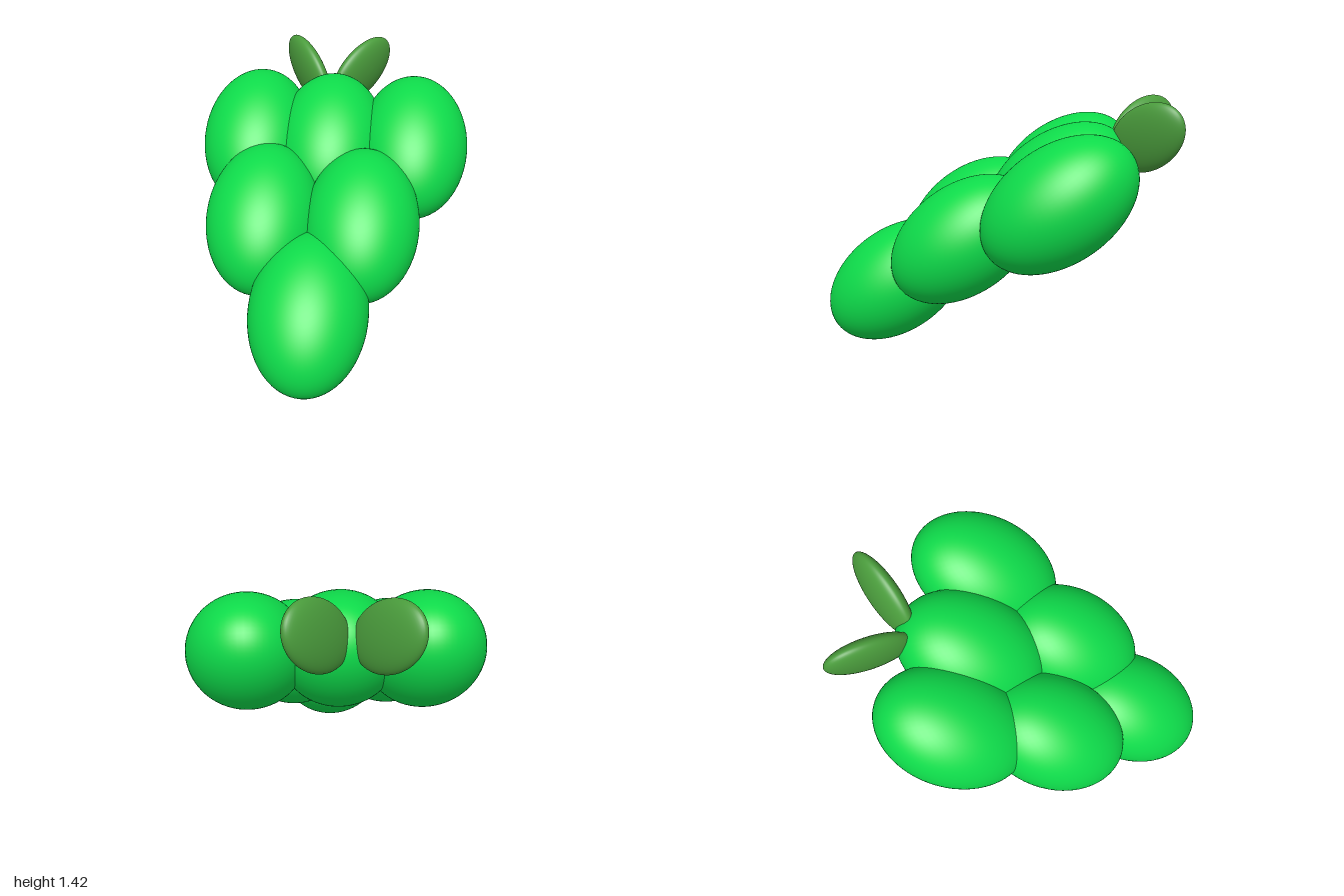
import * as THREE from 'three';

export function createModel() {
  const model = new THREE.Group();
  model.name = 'grapeBunch';

  const grapeGreen = new THREE.MeshStandardMaterial({ color: 0x0edb4a });
  grapeGreen.name = 'grapeGreen';
  const leafGreen = new THREE.MeshStandardMaterial({ color: 0x4a9c3c });
  leafGreen.name = 'leafGreen';

  const ball = new THREE.SphereGeometry(1, 64, 40);

  // Grapes: egg-shaped, all leaning back by the same angle
  const grapes = [
    ['bottomGrape', -0.042, 0.365, 0.597],
    ['middleRightGrape', -0.342, 0.68, 0.165],
    ['middleLeftGrape', 0.2, 0.68, 0.185],
    ['topRightGrape', -0.457, 0.937, -0.358],
    ['topMiddleGrape', -0.02, 0.937, -0.325],
    ['topLeftGrape', 0.455, 0.937, -0.323],
  ];
  for (const [name, x, y, z] of grapes) {
    const grape = new THREE.Mesh(ball, grapeGreen);
    grape.name = name;
    grape.position.set(x, y, z);
    grape.scale.set(0.317, 0.297, 0.448);
    grape.rotation.x = 0.645;
    model.add(grape);
  }

  // Leaves: flattened ellipsoids set by their long direction and face normal
  function addLeaf(name, position, along, normal) {
    const long = new THREE.Vector3(...along).normalize();
    const across = new THREE.Vector3(...normal).cross(long).normalize();
    const face = new THREE.Vector3().crossVectors(long, across);
    const leaf = new THREE.Mesh(ball, leafGreen);
    leaf.name = name;
    leaf.position.set(...position);
    leaf.scale.set(0.257, 0.172, 0.068);
    leaf.quaternion.setFromRotationMatrix(new THREE.Matrix4().makeBasis(long, across, face));
    model.add(leaf);
  }
  addLeaf('leftLeaf', [0.119, 1.23, -0.79], [0.6, 0.545, -0.59], [0.762, -0.164, 0.626]);
  addLeaf('rightLeaf', [-0.207, 1.22, -0.803], [-0.53, 0.545, -0.65], [-0.8, -0.16, 0.57]);

  return model;
}
